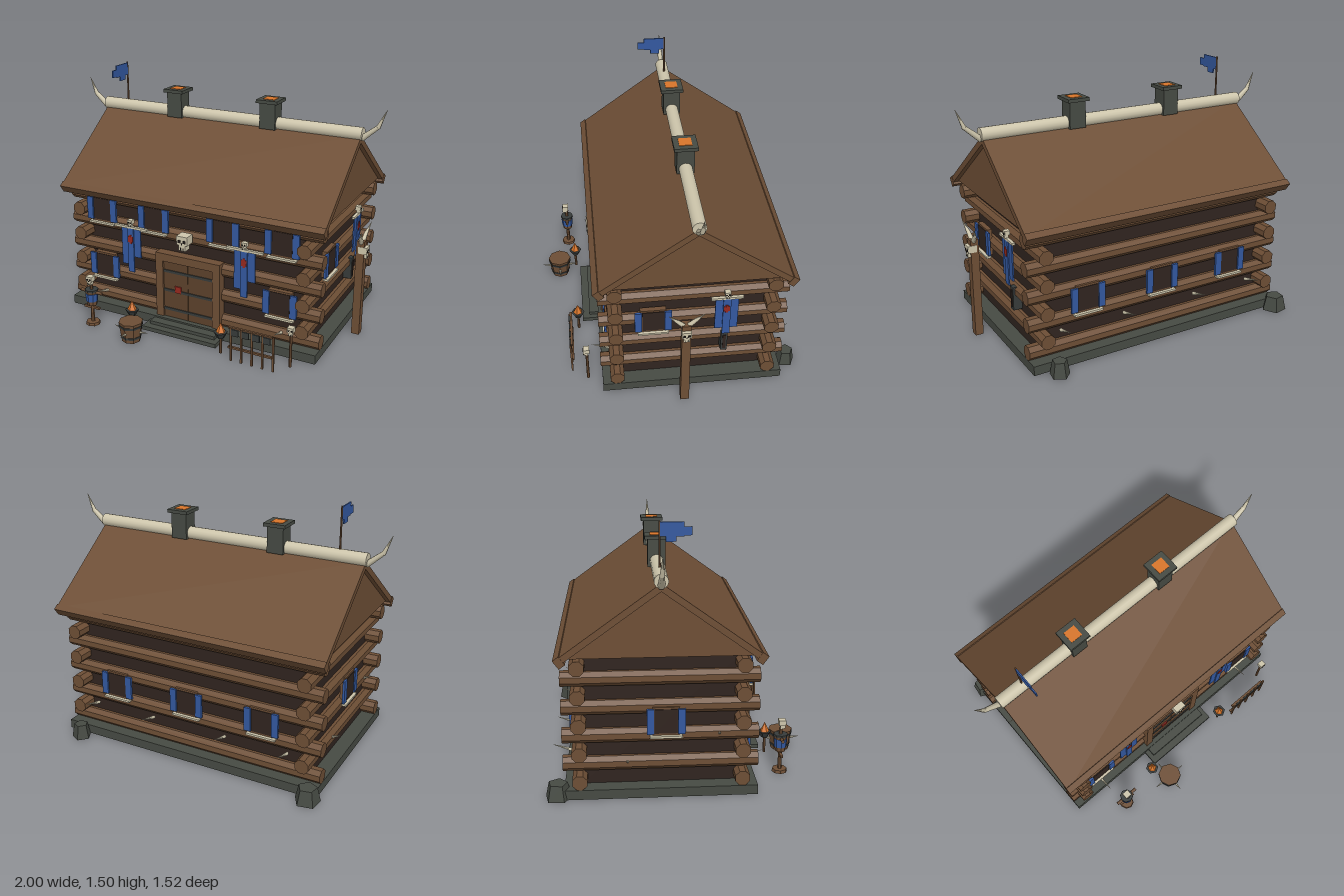
import * as THREE from 'three';

const mat = (name, color) => {
  const m = new THREE.MeshStandardMaterial({ color });
  m.name = name;
  return m;
};

export function createModel() {
  const wood = mat('wood', 0x6d4e35), plank = mat('dark plank', 0x5c412b), wall = mat('dark wall', 0x30241f);
  const stone = mat('stone', 0x464a43), iron = mat('iron', 0x373b3a), bone = mat('bone', 0xcdc5ab);
  const blue = mat('blue cloth', 0x33589f), red = mat('red emblem', 0x96281e), fire = mat('fire', 0xd8752a);
  const black = mat('socket black', 0x1c1816);
  const root = new THREE.Group();
  const CZ = -0.117; // middle of the house in z

  const add = (parent, name, geo, m, x = 0, y = 0, z = 0) => {
    const mesh = new THREE.Mesh(geo, m);
    mesh.name = name;
    mesh.position.set(x, y, z);
    parent.add(mesh);
    return mesh;
  };
  const box = (p, name, m, w, h, d, x, y, z) => add(p, name, new THREE.BoxGeometry(w, h, d), m, x, y, z);
  // Faceted cylinder standing on y
  const cyl = (p, name, m, rTop, rBot, h, sides, x, y, z) =>
    add(p, name, new THREE.CylinderGeometry(rTop, rBot, h, sides).toNonIndexed(), m, x, y, z);
  const group = (name, x, y, z, turn = 0, parent = root) => {
    const g = new THREE.Group();
    g.name = name;
    g.position.set(x, y, z);
    g.rotation.y = turn;
    parent.add(g);
    return g;
  };
  // Tapered bar between two points
  const bar = (p, name, m, a, b, r0, r1, sides = 6) => {
    const A = new THREE.Vector3(...a), B = new THREE.Vector3(...b), d = B.clone().sub(A);
    const mesh = add(p, name, new THREE.CylinderGeometry(r1, r0, d.length(), sides), m);
    mesh.position.copy(A).add(B).multiplyScalar(0.5);
    mesh.quaternion.setFromUnitVectors(new THREE.Vector3(0, 1, 0), d.normalize());
    return mesh;
  };

  // Skull facing +z, s = overall height
  const skull = (x, y, z, s, turn = 0) => {
    const g = group('skull', x, y, z, turn);
    box(g, 'cranium', bone, s * 0.78, s * 0.6, s * 0.75, 0, s * 0.2, 0);
    box(g, 'jaw', bone, s * 0.5, s * 0.42, s * 0.55, 0, -s * 0.29, s * 0.08);
    for (const k of [-1, 1]) {
      box(g, 'eye', black, s * 0.22, s * 0.2, 0.004, k * s * 0.19, s * 0.14, s * 0.375);
      box(g, 'toothGap', black, s * 0.05, s * 0.2, 0.004, k * s * 0.1, -s * 0.38, s * 0.355);
    }
    box(g, 'nose', black, s * 0.09, s * 0.12, 0.004, 0, -s * 0.03, s * 0.375);
    return g;
  };

  // Foundation, steps and corner rocks
  box(root, 'foundation', stone, 1.66, 0.055, 1.055, 0, 0.0275, CZ);
  box(root, 'upperStep', stone, 0.44, 0.045, 0.08, 0, 0.0225, 0.425);
  box(root, 'lowerStep', stone, 0.5, 0.025, 0.13, 0, 0.0125, 0.445);
  for (const [x, z, r, a] of [[-0.795, -0.68, 0.075, 0.2], [0.705, -0.7, 0.058, 0.8]]) {
    const rock = cyl(root, 'rock', stone, r * 0.72, r, 0.088, 5, x, 0.044, z);
    rock.geometry.computeVertexNormals();
    rock.rotation.y = a;
  }

  // Walls of stacked logs
  box(root, 'wall', wall, 1.485, 0.74, 0.884, 0, 0.42, CZ);
  const log = (len) => {
    const g = new THREE.CylinderGeometry(0.0435, 0.0435, len, 8).rotateY(Math.PI / 8).toNonIndexed();
    g.computeVertexNormals();
    return g;
  };
  for (const k of [-1, 1]) {
    for (let i = 0; i < 5; i++)
      add(root, 'longLog', log(1.662), wood, 0, 0.098 + i * 0.1628, CZ + k * 0.442).rotation.z = Math.PI / 2;
    for (let i = 0; i < 4; i++)
      add(root, 'sideLog', log(1.07), wood, k * 0.743, 0.181 + i * 0.1628, CZ).rotation.x = Math.PI / 2;
  }

  // Roof slabs, eave boards, gable
  const slope = 0.628;
  for (const k of [-1, 1]) {
    const side = group('roofSide', 0, 1.205, CZ, k > 0 ? 0 : Math.PI);
    const tilt = group('roofTilt', 0, 0, 0, 0, side);
    tilt.rotation.x = slope;
    box(tilt, 'roofSlab', wood, 1.716, 0.035, 0.67, 0, -0.0175, 0.335);
    box(tilt, 'eaveBoard', wood, 1.72, 0.056, 0.04, 0, -0.022, 0.668);
  }
  const tri = new THREE.Shape([[-0.5, 0.805], [0.5, 0.805], [0, 1.168]].map((p) => new THREE.Vector2(...p)));
  const gable = add(root, 'gable', new THREE.ExtrudeGeometry(tri, { depth: 1.66, bevelEnabled: false }), wood, -0.83, 0, CZ);
  gable.rotation.y = Math.PI / 2;

  // Ridge beam with horns
  add(root, 'ridgeBeam', new THREE.CylinderGeometry(0.038, 0.038, 1.735, 16), bone, 0, 1.217, CZ).rotation.z = Math.PI / 2;
  for (const k of [-1, 1]) {
    bar(root, 'ridgeHorn', bone, [k * 0.86, 1.19, CZ], [k * 0.95, 1.265, CZ], 0.02, 0.014);
    bar(root, 'ridgeHornTip', bone, [k * 0.95, 1.262, CZ], [k * 0.998, 1.37, CZ], 0.014, 0.001);
  }

  // Chimneys
  for (const x of [-0.335, 0.295]) {
    const g = group('chimney', x, 0, CZ);
    box(g, 'stack', stone, 0.1, 0.16, 0.1, 0, 1.265, 0);
    box(g, 'cap', stone, 0.134, 0.02, 0.134, 0, 1.351, 0);
    box(g, 'embers', fire, 0.072, 0.006, 0.072, 0, 1.361, 0);
  }

  // Roof flag
  const flag = group('roofFlag', -0.705, 0, CZ);
  cyl(flag, 'pole', wood, 0.005, 0.006, 0.27, 6, 0, 1.36, 0);
  box(flag, 'cloth', blue, 0.008, 0.075, 0.125, 0, 1.452, 0.066);
  box(flag, 'tail', blue, 0.008, 0.045, 0.042, 0, 1.442, 0.148);
  box(flag, 'tatter', blue, 0.008, 0.03, 0.056, 0, 1.402, 0.06);

  // Windows with shutters
  const windowAt = (x, y, z, turn) => {
    const g = group('window', x, y, z, turn);
    box(g, 'frame', wood, 0.146, 0.16, 0.03, 0, 0, -0.012);
    box(g, 'pane', wall, 0.122, 0.138, 0.006, 0, 0, 0.004);
    for (const k of [-1, 1]) box(g, 'shutter', blue, 0.04, 0.142, 0.014, k * 0.084, 0, 0.006);
    box(g, 'sill', bone, 0.176, 0.012, 0.03, 0, -0.087, 0.005);
  };
  const FRONT = 0.372, SIDE = 0.79, BACK = -0.606;
  for (const x of [-0.6, -0.232, 0.23, 0.598]) windowAt(x, 0.675, FRONT, 0);
  for (const x of [-0.595, 0.592]) windowAt(x, 0.305, FRONT, 0);
  for (const x of [-0.48, 0, 0.48]) windowAt(x, 0.365, BACK, Math.PI);
  windowAt(SIDE, 0.512, 0.112, Math.PI / 2);
  windowAt(-SIDE, 0.43, -0.09, -Math.PI / 2);

  // Hanging banners: strips as [x, width, length]
  const banner = (x, y, z, turn, w, strips) => {
    const g = group('banner', x, y, z, turn);
    box(g, 'rod', bone, w, 0.014, 0.018, 0, 0, 0.01);
    strips.forEach(([sx, sw, len], i) => box(g, 'strip', blue, sw, len, 0.008, sx, -len / 2 - 0.005, 0.008 + (i === 1 ? 0.007 : 0)));
    box(g, 'emblem', red, 0.034, 0.036, 0.006, -0.002, -0.075, 0.019);
    box(g, 'emblemTip', red, 0.016, 0.056, 0.005, -0.002, -0.075, 0.019);
    skull(x + Math.sin(turn) * 0.012, y + 0.03, z + Math.cos(turn) * 0.012, 0.042, turn);
  };
  const frontStrips = [[-0.042, 0.052, 0.24], [-0.002, 0.042, 0.285], [0.042, 0.046, 0.185]];
  for (const x of [-0.38, 0.38]) banner(x, 0.602, 0.385, 0, 0.23, frontStrips);
  banner(0.8, 0.665, -0.297, Math.PI / 2, 0.18, [[-0.043, 0.044, 0.225], [0, 0.044, 0.265], [0.043, 0.044, 0.225]]);

  // Iron slot on the side wall
  box(root, 'ironSlot', iron, 0.06, 0.14, 0.038, 0.765, 0.303, -0.297);
  box(root, 'slotOpening', wall, 0.006, 0.105, 0.018, 0.796, 0.303, -0.297);

  // Door
  const door = group('door', 0, 0, 0.36);
  for (const k of [-1, 1]) {
    box(door, 'doorPost', wood, 0.05, 0.42, 0.06, k * 0.192, 0.262, 0);
    box(door, 'doorLeaf', plank, 0.164, 0.37, 0.03, k * 0.0835, 0.235, 0.005);
  }
  box(door, 'lintel', wood, 0.434, 0.05, 0.06, 0, 0.447, 0);
  for (const y of [0.11, 0.235, 0.36]) box(door, 'strap', iron, 0.33, 0.016, 0.008, 0, y, 0.022);
  box(door, 'doorEmblem', red, 0.042, 0.042, 0.008, -0.065, 0.25, 0.026);
  skull(0, 0.587, 0.415, 0.09);

  // Bone spikes on the walls
  for (const x of [-0.63, -0.24, 0.24, 0.64]) bar(root, 'spike', bone, [x, 0.2, -0.59], [x, 0.24, -0.71], 0.011, 0.001, 5);
  for (const x of [-0.6, 0.6]) bar(root, 'spike', bone, [x, 0.12, 0.36], [x, 0.155, 0.465], 0.01, 0.001, 5);
  for (const [y, z] of [[0.345, 0.2], [0.19, -0.3]]) bar(root, 'spike', bone, [-0.77, y, z], [-0.83, y + 0.025, z], 0.01, 0.001, 5);

  // Horned totem post
  box(root, 'totemPost', wood, 0.048, 0.6, 0.05, 0.917, 0.3, -0.055);
  skull(0.932, 0.532, -0.055, 0.07, Math.PI / 2);
  for (const k of [-1, 1]) {
    bar(root, 'totemHorn', bone, [0.92, 0.59, -0.055 + k * 0.015], [0.925, 0.633, -0.055 + k * 0.055], 0.015, 0.011);
    bar(root, 'totemHornTip', bone, [0.925, 0.63, -0.055 + k * 0.053], [0.94, 0.687, -0.055 + k * 0.098], 0.011, 0.001);
  }

  // Spiked barrel
  const barrel = group('barrel', -0.24, 0, 0.645);
  cyl(barrel, 'staves', wood, 0.073, 0.056, 0.125, 8, 0, 0.0625, 0);
  for (const [y, r] of [[0.03, 0.063], [0.1, 0.073]]) cyl(barrel, 'hoop', iron, r + 0.001, r - 0.001, 0.014, 8, 0, y, 0);
  for (let i = 0; i < 4; i++) {
    const c = Math.cos(i * Math.PI / 2), s = Math.sin(i * Math.PI / 2);
    bar(barrel, 'barrelSpike', bone, [c * 0.055, 0.062, s * 0.055], [c * 0.113, 0.07, s * 0.113], 0.009, 0.001, 5);
  }

  // Braziers
  for (const x of [-0.3, 0.3]) {
    const g = group('brazier', x, 0, 0.537);
    cyl(g, 'stand', wood, 0.007, 0.009, 0.11, 6, 0, 0.055, 0);
    cyl(g, 'bowl', iron, 0.041, 0.022, 0.036, 6, 0, 0.118, 0);
    cyl(g, 'flame', fire, 0.001, 0.028, 0.058, 5, 0, 0.165, 0);
  }

  // Training dummy
  const dummy = group('trainingDummy', -0.56, 0, 0.582);
  cyl(dummy, 'dummyPost', wood, 0.01, 0.012, 0.27, 6, 0, 0.135, 0);
  cyl(dummy, 'dummyBase', wood, 0.042, 0.045, 0.018, 8, 0, 0.009, 0);
  box(dummy, 'lowerBar', wood, 0.11, 0.014, 0.016, 0, 0.112, 0);
  bar(dummy, 'arms', wood, [-0.075, 0.215, 0], [0.075, 0.215, 0], 0.01, 0.01);
  cyl(dummy, 'torso', wood, 0.038, 0.03, 0.1, 8, 0, 0.18, 0);
  cyl(dummy, 'tunic', blue, 0.039, 0.036, 0.05, 8, 0, 0.182, 0);
  cyl(dummy, 'collar', iron, 0.041, 0.041, 0.012, 8, 0, 0.228, 0);
  skull(-0.56, 0.295, 0.588, 0.052);

  // Axe rack
  const rack = group('axeRack', 0.505, 0, 0.585);
  for (const y of [0.08, 0.205]) box(rack, 'rackRail', wood, 0.27, 0.012, 0.014, 0, y, -0.006);
  for (let i = 0; i < 5; i++) {
    const x = -0.115 + i * 0.065;
    box(rack, 'axeHandle', wood, 0.011, 0.21, 0.011, x, 0.105, 0.002);
    if (i < 4) box(rack, 'axeHead', iron, 0.042, 0.04, 0.01, x + 0.026, 0.182, 0.004);
  }

  // Skull on a stake
  cyl(root, 'stake', wood, 0.008, 0.009, 0.21, 6, 0.715, 0.105, 0.495);
  skull(0.715, 0.226, 0.497, 0.048);

  // Flat facets on the small faceted pieces
  root.traverse((o) => {
    if (o.isMesh && !o.geometry.index && o.geometry.type !== 'ExtrudeGeometry') o.geometry.computeVertexNormals();
  });
  return root;
}
